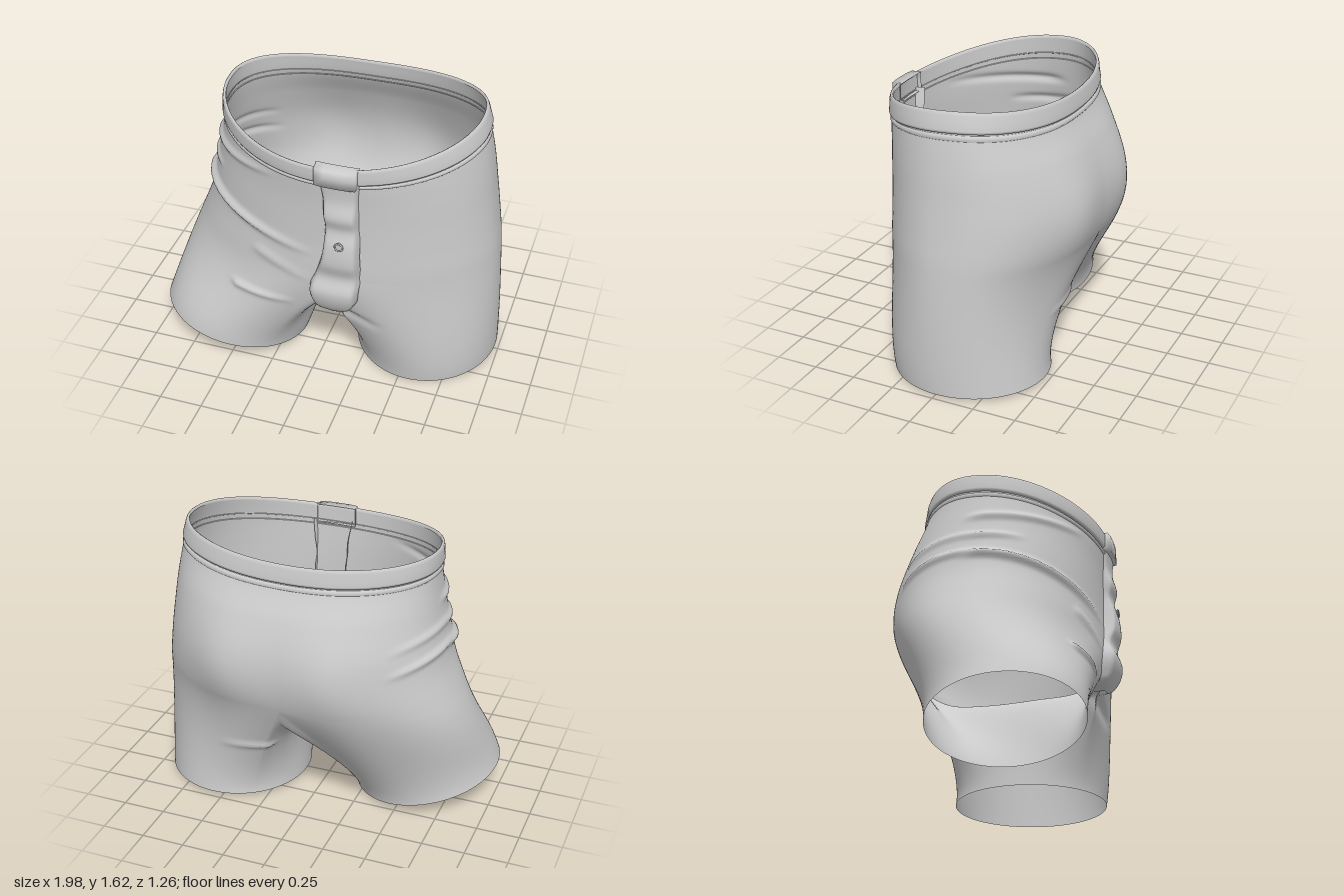
import * as THREE from 'three';
import { mergeVertices } from 'three/addons/utils/BufferGeometryUtils.js';

const { smoothstep, lerp } = THREE.MathUtils;
const V = (x, y, z) => new THREE.Vector3(x, y, z);
const SPLIT = 0.75; // height where the torso divides into legs
const OUT = 80, INN = 56; // columns on the outer and inner side of a leg

// Torso sections by height: right x, left x, front z, back z
const heights = [0.6, 0.8, 0.95, 1.1, 1.28, 1.45, 1.57];
const sections = new THREE.CubicInterpolant(heights, [
  -0.885, 0.965, 0.56, -0.53,
  -0.8, 0.95, 0.56, -0.605,
  -0.745, 0.93, 0.555, -0.625,
  -0.715, 0.91, 0.555, -0.61,
  -0.675, 0.885, 0.56, -0.55,
  -0.645, 0.85, 0.57, -0.465,
  -0.635, 0.815, 0.575, -0.44,
], 4);

// Point on the torso; angle 0 is the front, a quarter turn is the left side
function torso(angle, level) {
  const [x0, x1, zf, zb] = sections.evaluate(level);
  const s = Math.sin(angle), c = Math.cos(angle);
  const n = lerp(2, 2.25, smoothstep(-c, -0.3, 0.3));
  const r = 1 / Math.pow(Math.abs(s) ** n + Math.abs(c) ** n, 1 / n);
  const cx = (x0 + x1) / 2, cz = -0.01;
  const dx = (x1 - x0) / 2 * s * r;
  let z = cz + (c > 0 ? zf - cz : cz - zb) * c * r;
  // seat cheeks
  z -= 0.035 * Math.max(0, -c) * Math.exp(-(((Math.abs(dx) - 0.33) / 0.2) ** 2) - ((level - 0.97) / 0.3) ** 2);
  // waist rises at the sides and dips at the front
  const dy = 0.04 - 0.035 * c - 0.075 * c * c + 0.012 * s;
  return V(cx + dx, level + dy * smoothstep(level, 1.1, 1.57), z);
}

// Seam running under the body from front to back
const seam = new THREE.CatmullRomCurve3([
  torso(0, SPLIT), V(0.095, 0.6, 0.53), V(0.07, 0.505, 0.4), V(0.06, 0.485, 0.15),
  V(0.06, 0.485, -0.15), V(0.075, 0.52, -0.37), V(0.095, 0.62, -0.52), torso(Math.PI, SPLIT),
]);

const legs = [
  { side: 1, hem: (s, c) => V(0.56 + 0.42 * s, 0.02 - 0.01 * c + 0.005 * s, -0.03 + 0.45 * c), end: V(-0.02, -0.6, -0.1) },
  { side: -1, hem: (s, c) => V(-0.575 - 0.425 * s, 0.11 + 0.09 * s + 0.04 * c, 0.165 + 0.43 * c), end: V(-0.19, -0.55, 0.03) },
];

// Grid of a leg, swept by Hermite curves from torso and seam down to the hem
function legRows({ side, hem, end }, count) {
  const columns = [];
  for (let j = 0; j <= OUT + INN; j++) {
    const outer = j <= OUT;
    const t = outer ? j / OUT : (j - OUT) / INN;
    const spread = 0.6;
    const a = outer ? lerp(-spread, Math.PI + spread, t) : lerp(Math.PI + spread, 2 * Math.PI - spread, t);
    const angle = side * (outer ? t * Math.PI : (t < 0.5 ? Math.PI : 0));
    const p0 = outer ? torso(angle, SPLIT) : seam.getPointAt(THREE.MathUtils.clamp(1 - t, 0, 1));
    const down = torso(angle, SPLIT - 0.02).sub(torso(angle, SPLIT + 0.02)).multiplyScalar(0.7 / 0.04);
    // near the seam the surface leaves sideways instead of downwards
    const d = Math.min(t, 1 - t);
    const w = outer ? 0.5 * (1 - smoothstep(d, 0, 0.2)) : 0.5 + 0.5 * smoothstep(d, 0, 0.28);
    const t0 = down.multiplyScalar(1 - w).add(V(side * lerp(0.45, 0.25, smoothstep(w, 0.5, 1)), -0.04, 0).multiplyScalar(w));
    columns.push([p0, t0, hem(Math.sin(a), Math.cos(a)), end]);
  }
  return Array.from({ length: count + 1 }, (_, i) => {
    const t = i / count, t2 = t * t, t3 = t2 * t;
    return columns.map(([p0, t0, p1, t1]) => V(0, 0, 0)
      .addScaledVector(p0, 2 * t3 - 3 * t2 + 1).addScaledVector(t0, t3 - 2 * t2 + t)
      .addScaledVector(p1, 3 * t2 - 2 * t3).addScaledVector(t1, t3 - t2));
  });
}

// One smooth surface from grids of points, each listed top to bottom
function surface(grids) {
  const pos = [];
  const tri = (...pts) => pts.forEach(p => pos.push(p.x, p.y, p.z));
  for (const { rows, flip } of grids) {
    for (let i = 0; i + 1 < rows.length; i++) for (let j = 0; j + 1 < rows[i].length; j++) {
      const a = rows[i][j], b = rows[i][j + 1], c = rows[i + 1][j], d = rows[i + 1][j + 1];
      if (flip) { tri(a, b, c); tri(b, d, c); } else { tri(a, c, b); tri(b, c, d); }
    }
  }
  const g = new THREE.BufferGeometry();
  g.setAttribute('position', new THREE.Float32BufferAttribute(pos, 3));
  const merged = mergeVertices(g, 1e-4);
  merged.computeVertexNormals();
  return merged;
}

// Cloth folds: start xy, end xy, height, width, front (1) or back (-1)
const folds = [
  [-0.72, 1.31, -0.2, 1.36, 0.02, 0.022, 1],
  [-0.76, 1.06, 0.03, 0.9, 0.032, 0.024, 1],
  [-0.76, 1.18, -0.58, 1.18, 0.022, 0.02, 1],
  [-0.45, 0.55, -0.08, 0.53, 0.02, 0.02, 1],
  [0.14, 0.5, 0.42, 0.4, -0.02, 0.03, 1],
  [-0.3, 0.82, 0.02, 0.72, 0.012, 0.03, 1],
  [-0.76, 1.08, -0.5, 1.0, 0.02, 0.022, -1],
  [-0.74, 1.2, -0.5, 1.13, 0.015, 0.022, -1],
  [0.2, 0.42, 0.5, 0.4, 0.015, 0.02, -1],
];
function addFolds(g) {
  const p = g.attributes.position, n = g.attributes.normal;
  const v = V(0, 0, 0), m = V(0, 0, 0), q = V(0, 0, 0);
  for (let i = 0; i < p.count; i++) {
    v.fromBufferAttribute(p, i);
    m.fromBufferAttribute(n, i);
    let h = 0;
    for (const [ax, ay, bx, by, height, width, face] of folds) {
      const lx = bx - ax, ly = by - ay;
      const t = THREE.MathUtils.clamp(((v.x - ax) * lx + (v.y - ay) * ly) / (lx * lx + ly * ly), 0, 1);
      const d = Math.hypot(v.x - ax - lx * t, v.y - ay - ly * t);
      h += height * (1 - t * t) * Math.exp(-((d / width) ** 2)) * smoothstep(v.z * face, -0.08, 0.08);
    }
    q.copy(v).addScaledVector(m, h);
    p.setXYZ(i, q.x, q.y, q.z);
  }
  g.computeVertexNormals();
  return g;
}

export function createModel() {
  const group = new THREE.Group();
  const cloth = new THREE.MeshStandardMaterial({ color: 0xcccccc, side: THREE.DoubleSide });
  const add = (name, geometry) => {
    const mesh = new THREE.Mesh(geometry, cloth);
    mesh.name = name;
    group.add(mesh);
    return mesh;
  };
  const ring = f => Array.from({ length: 2 * OUT + 1 }, (_, j) => f(Math.PI * (j > OUT ? j - 2 * OUT : j) / OUT));

  // Shorts body with both legs
  const torsoRows = Array.from({ length: 71 }, (_, i) => ring(a => torso(a, lerp(1.57, SPLIT, i / 70))));
  add('shorts', addFolds(surface([
    { rows: torsoRows },
    ...legs.map(l => ({ rows: legRows(l, 50), flip: l.side < 0 })),
  ])));

  // Waistband and the stitched hem below it: outset, drop
  const hoop = profile => surface([{
    rows: profile.map(([o, drop]) => ring(a => torso(a, 1.57 - drop).add(V(o * Math.sin(a), 0, o * Math.cos(a))))),
  }]);
  add('waistband', hoop([[-0.004, 0.012], [-0.002, 0], [0.006, -0.005], [0.013, 0], [0.016, 0.015], [0.015, 0.05], [0.016, 0.085], [0.01, 0.098], [-0.004, 0.102]]));
  add('waistbandStitch', hoop([[-0.003, 0.106], [0.007, 0.112], [0.007, 0.128], [-0.004, 0.138]]));

  // Fly panel: height, right edge, left edge, depth
  const fly = new THREE.CubicInterpolant([0.52, 0.545, 0.6, 0.7, 0.8, 0.9, 1.02, 1.12, 1.2, 1.3, 1.42], [
    0.12, 0.18, 0.545,
    0.06, 0.235, 0.57,
    0.03, 0.275, 0.605,
    0.015, 0.295, 0.628,
    0.045, 0.3, 0.6,
    0.08, 0.3, 0.624,
    0.098, 0.297, 0.617,
    0.1, 0.293, 0.592,
    0.095, 0.29, 0.61,
    0.085, 0.292, 0.588,
    0.06, 0.302, 0.592,
  ], 3);
  const flyRows = Array.from({ length: 61 }, (_, i) => {
    const [x0, x1, z] = fly.evaluate(lerp(1.42, 0.52, i / 60));
    return Array.from({ length: 25 }, (_, j) => {
      const t = j / 24, edge = Math.abs(2 * t - 1);
      return V(lerp(x0, x1, t), lerp(1.42, 0.52, i / 60), z - 0.012 * edge ** 2 - 0.06 * edge ** 14);
    });
  });
  add('fly', surface([{ rows: flyRows }]));

  // Tab closing the waistband over the fly
  const tabRows = [[0.07, 1.512], [0.0, 1.508], [0, 1.46], [0, 1.405], [0.06, 1.395]].map(([sink, y]) =>
    [[0.05, 0.06], [0.056, 0.005], [0.11, 0], [0.17, 0], [0.22, 0], [0.284, 0.005], [0.29, 0.06]]
      .map(([x, back]) => V(x, y, 0.612 - Math.max(sink, back) - 0.3 * (x - 0.16) ** 2)));
  add('waistbandTab', surface([{ rows: tabRows }]));

  // Fly button with raised rim
  const button = add('button', new THREE.CylinderGeometry(0.022, 0.022, 0.016, 24));
  button.rotation.x = Math.PI / 2;
  button.position.set(0.2, 1.035, 0.612);
  add('buttonRim', new THREE.TorusGeometry(0.022, 0.005, 8, 28)).position.set(0.2, 1.035, 0.619);

  return group;
}
